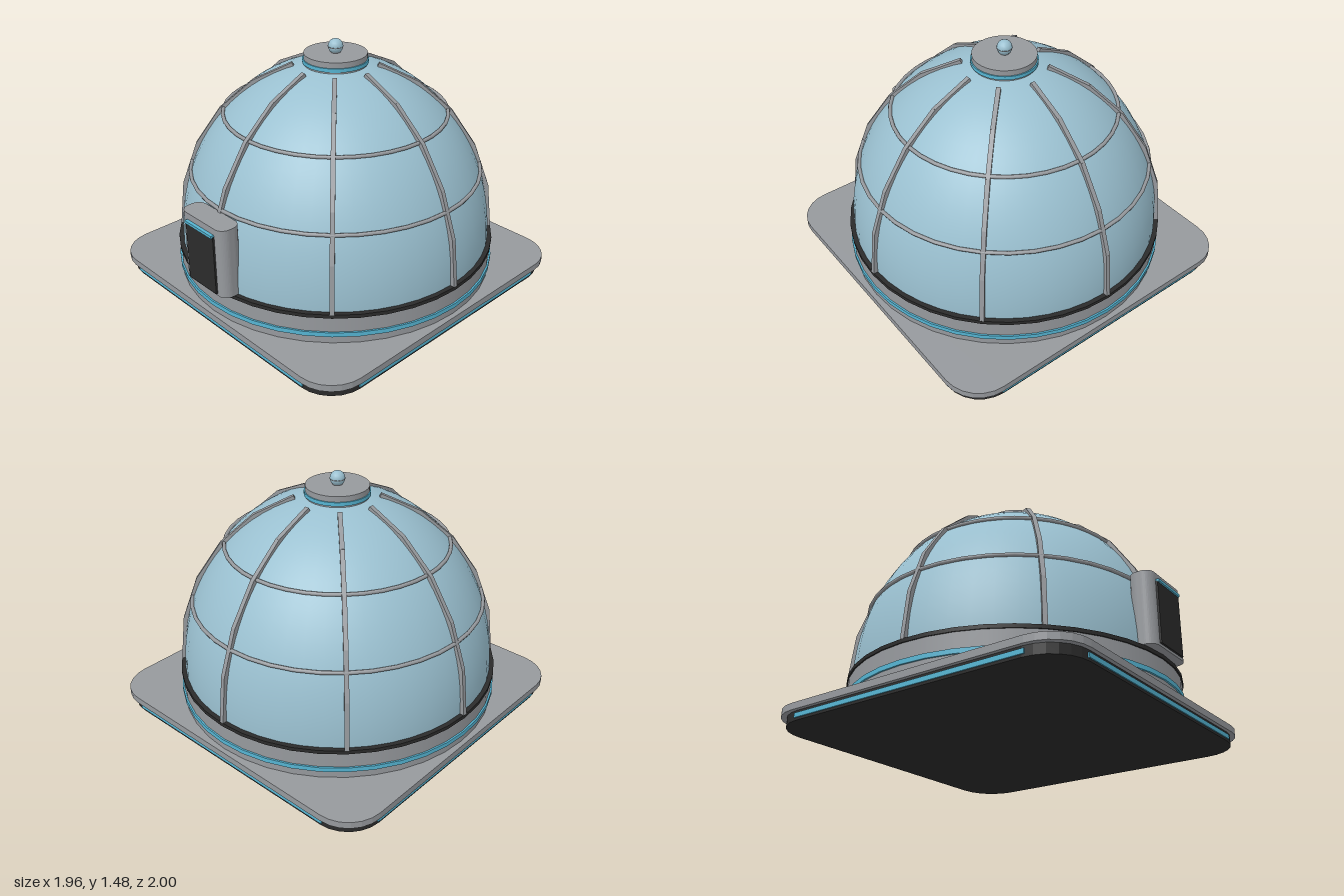
import * as THREE from 'three';

const mat = (name, color) => {
  const m = new THREE.MeshStandardMaterial({ color });
  m.name = name;
  return m;
};

export function createModel() {
  const glass = mat('paleBlueGlass', 0x9ac0d0);
  const grey = mat('greyMetal', 0x96999d);
  const dark = mat('darkTrim', 0x2b2b2b);
  const cyan = mat('cyanGlow', 0x55b4d2);

  const model = new THREE.Group();
  model.name = 'domeHabitat';
  const body = new THREE.Group();
  body.name = 'body';
  body.position.z = -0.02;
  model.add(body);

  const add = (name, geo, material, x = 0, y = 0, z = 0, parent = body) => {
    const mesh = new THREE.Mesh(geo, material);
    mesh.name = name;
    mesh.position.set(x, y, z);
    parent.add(mesh);
    return mesh;
  };
  const disc = (name, r, y0, y1, material, rTop = r, sides = 40) =>
    add(name, new THREE.CylinderGeometry(rTop, r, y1 - y0, sides), material, 0, (y0 + y1) / 2);

  // Upright block with rounded plan corners, standing on y = 0
  const roundedBlock = (hx, hz, r, height, segments) => {
    const s = new THREE.Shape();
    s.absarc(hx - r, hz - r, r, 0, Math.PI / 2);
    s.absarc(-hx + r, hz - r, r, Math.PI / 2, Math.PI);
    s.absarc(-hx + r, -hz + r, r, Math.PI, Math.PI * 1.5);
    s.absarc(hx - r, -hz + r, r, Math.PI * 1.5, Math.PI * 2);
    const geo = new THREE.ExtrudeGeometry(s, { depth: height, bevelEnabled: false, curveSegments: segments });
    return geo.rotateX(-Math.PI / 2);
  };

  // Foundation: dark plinth, grey slab and a light strip on each side
  add('plinth', roundedBlock(0.955, 0.955, 0.22, 0.055, 3), dark);
  add('slab', roundedBlock(0.978, 0.978, 0.22, 0.04, 3), grey, 0, 0.055);
  for (let i = 0; i < 4; i++) {
    const side = new THREE.Group();
    side.name = 'plinthLight';
    side.rotation.y = i * Math.PI / 2;
    body.add(side);
    add('plinthLightStrip', new THREE.BoxGeometry(1.5, 0.026, 0.009), cyan, 0, 0.028, 0.957, side);
  }

  // Drum with its light band and dark rim
  disc('drum', 0.95, 0.095, 0.265, grey);
  disc('drumLightBand', 0.96, 0.14, 0.167, cyan);
  disc('drumRim', 0.957, 0.258, 0.28, dark);

  // Dome shell
  const R = 0.93, H = 1.075, baseY = 0.28;
  const shell = new THREE.SphereGeometry(1, 48, 20, 0, Math.PI * 2, 0, Math.PI / 2);
  shell.scale(R, H, R);
  add('domeShell', shell, glass, 0, baseY);

  // Meridian ribs made of straight bars, one every 15 degrees of height
  const ribPoint = (deg) => {
    const a = THREE.MathUtils.degToRad(deg);
    return new THREE.Vector2((R + 0.01) * Math.cos(a), baseY + (H + 0.005) * Math.sin(a));
  };
  for (let i = 0; i < 8; i++) {
    const rib = new THREE.Group();
    rib.name = 'rib';
    rib.rotation.y = i * Math.PI / 4;
    body.add(rib);
    for (let d = 0; d < 75; d += 15) {
      const a = ribPoint(d), b = ribPoint(d + 15);
      const bar = add('ribBar', new THREE.BoxGeometry(0.032, a.distanceTo(b) + 0.004, 0.026), grey,
        (a.x + b.x) / 2, (a.y + b.y) / 2, 0, rib);
      bar.rotation.z = Math.atan2(a.x - b.x, b.y - a.y);
    }
  }

  // Horizontal hoops
  for (const [r, y] of [[0.861, 0.71], [0.654, 1.055]]) {
    const hoop = new THREE.TorusGeometry(r, 0.011, 8, 40).rotateX(Math.PI / 2);
    add('hoop', hoop, grey, 0, y);
  }

  // Crown cap and finial
  disc('crownCap', 0.183, 1.335, 1.4, grey);
  disc('crownLightBand', 0.19, 1.345, 1.367, cyan);
  disc('finialCup', 0.028, 1.4, 1.436, grey, 0.046, 16);
  add('finialGlobe', new THREE.SphereGeometry(0.044, 16, 10), glass, 0, 1.436);

  // Doorway housing, door panel and lintel light
  add('doorHousing', roundedBlock(0.184, 0.068, 0.055, 0.42, 5), grey, 0, 0.28, 0.932);
  add('doorPanel', new THREE.BoxGeometry(0.24, 0.355, 0.014), dark, 0, 0.4725, 1.004);
  add('lintelLight', new THREE.BoxGeometry(0.235, 0.016, 0.022), cyan, 0, 0.653, 1.009);

  return model;
}
